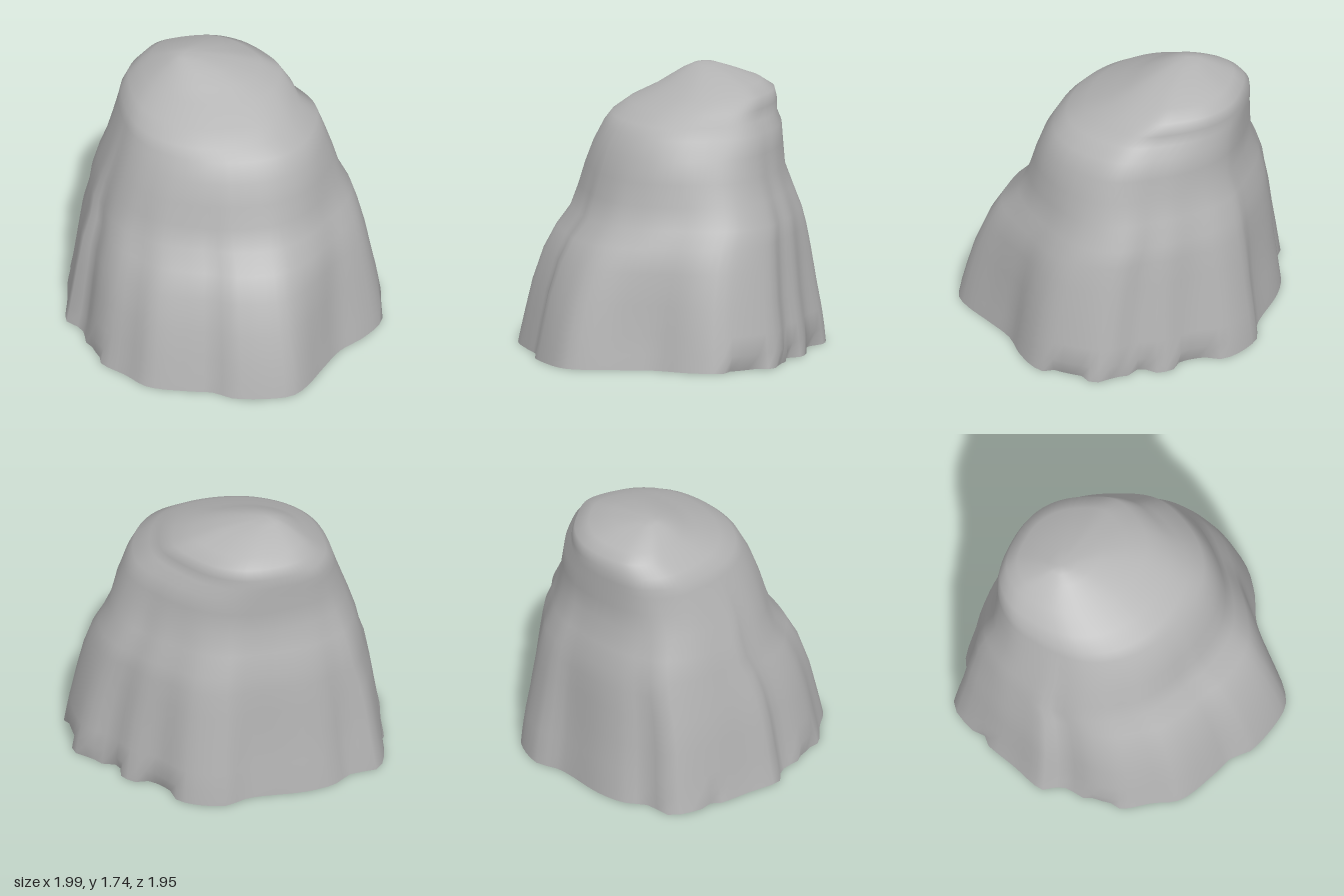
import * as THREE from 'three';

const SEGMENTS = 96;

// Ground outline and shoulder outline as [x, z], running from +x towards +z
const BASE = [[1, -0.18], [0.98, 0.2], [0.85, 0.37], [0.68, 0.5], [0.55, 0.68], [0.42, 0.87], [0.33, 0.95],
  [0.2, 0.97], [-0.08, 0.93], [-0.15, 0.87], [-0.33, 0.83], [-0.58, 0.75], [-0.7, 0.61], [-0.83, 0.48],
  [-0.9, 0.3], [-0.92, 0.08], [-1, 0], [-0.97, -0.25], [-0.93, -0.52], [-0.83, -0.79], [-0.65, -0.81],
  [-0.52, -0.9], [-0.33, -0.94], [0.05, -0.93], [0.2, -0.98], [0.4, -0.92], [0.48, -0.86], [0.6, -0.68],
  [0.75, -0.55], [0.84, -0.37], [0.95, -0.28]];
const SHOULDER = [[0.61, -0.2], [0.59, 0], [0.5, 0.2], [0.35, 0.33], [0.1, 0.38], [-0.2, 0.34], [-0.44, 0.2],
  [-0.58, 0], [-0.63, -0.3], [-0.6, -0.52], [-0.45, -0.7], [-0.15, -0.77], [0.1, -0.75], [0.32, -0.63], [0.5, -0.42]];

// Levels: height, x min, x max, z min, z max
const LEVELS = [
  [0, -1, 1, -0.97, 0.98], [0.1, -0.98, 0.985, -0.96, 0.96], [0.22, -0.96, 0.965, -0.945, 0.93],
  [0.4, -0.93, 0.93, -0.92, 0.88], [0.6, -0.89, 0.89, -0.9, 0.8], [0.75, -0.84, 0.85, -0.88, 0.71],
  [0.86, -0.815, 0.81, -0.86, 0.6], [1, -0.77, 0.74, -0.82, 0.54], [1.14, -0.72, 0.7, -0.77, 0.5],
  [1.28, -0.67, 0.65, -0.77, 0.45], [1.4, -0.63, 0.6, -0.77, 0.38], [1.46, -0.61, 0.5, -0.77, 0.31],
  [1.53, -0.56, 0.46, -0.77, 0.19], [1.6, -0.47, 0.39, -0.75, 0.02], [1.65, -0.41, 0.27, -0.68, -0.09],
  [1.7, -0.33, 0.1, -0.55, -0.2], [1.73, -0.27, -0.08, -0.46, -0.3]];
const PEAK = [-0.21, 1.74, -0.38];

// Chips undercut into the foot: angle, half width, depth
const CHIPS = [[0.04, 0.13, 0.05], [-0.27, 0.06, 0.03], [-0.5, 0.07, 0.05], [-0.88, 0.13, 0.05],
  [2.75, 0.07, 0.03], [-2.62, 0.06, 0.03]];

// Samples an outline evenly by angle and scales it to a -1..1 square
function sampleOutline(points) {
  const curve = new THREE.CatmullRomCurve3(points.map(([x, z]) => new THREE.Vector3(x, 0, z)), true, 'centripetal');
  const fine = curve.getPoints(800);
  const box = new THREE.Box3().setFromPoints(fine);
  const mid = box.getCenter(new THREE.Vector3());
  const half = box.getSize(new THREE.Vector3()).multiplyScalar(0.5);
  const unit = fine.map((p) => [(p.x - mid.x) / half.x, (p.z - mid.z) / half.z]);
  return Array.from({ length: SEGMENTS }, (_, j) => {
    const c = Math.cos(j / SEGMENTS * Math.PI * 2), s = Math.sin(j / SEGMENTS * Math.PI * 2);
    let best = unit[0], score = -2;
    for (const p of unit) {
      const dot = (p[0] * c + p[1] * s) / Math.hypot(p[0], p[1]);
      if (dot > score) { score = dot; best = p; }
    }
    return best;
  });
}

function chipDepth(angle) {
  let depth = 0;
  for (const [at, width, d] of CHIPS) {
    const off = Math.abs(Math.atan2(Math.sin(angle - at), Math.cos(angle - at)));
    if (off < width) depth = d;
  }
  return depth;
}

function makeGeometry(positions, indices) {
  const geometry = new THREE.BufferGeometry();
  geometry.setAttribute('position', new THREE.Float32BufferAttribute(positions, 3));
  geometry.setIndex(indices);
  geometry.computeVertexNormals();
  return geometry;
}

export function createModel() {
  const group = new THREE.Group();
  group.name = 'boulder';
  const stone = new THREE.MeshStandardMaterial({ color: 0xb4b4b4 });
  stone.name = 'grey stone';

  // Weathered sides and sloping crown, lofted through the levels
  const base = sampleOutline(BASE), shoulder = sampleOutline(SHOULDER);
  const positions = [], indices = [];
  LEVELS.forEach(([y, x0, x1, z0, z1], i) => {
    const blend = THREE.MathUtils.smoothstep(y, 0.1, 1.5);
    for (let j = 0; j < SEGMENTS; j++) {
      const u = THREE.MathUtils.lerp(base[j][0], shoulder[j][0], blend);
      const v = THREE.MathUtils.lerp(base[j][1], shoulder[j][1], blend);
      const cut = i === 0 ? 1 - chipDepth(j / SEGMENTS * Math.PI * 2) : 1;
      positions.push(((x0 + x1) / 2 + u * (x1 - x0) / 2) * cut, y, ((z0 + z1) / 2 + v * (z1 - z0) / 2) * cut);
    }
  });
  const top = LEVELS.length - 1, peak = LEVELS.length * SEGMENTS;
  positions.push(...PEAK);
  for (let j = 0; j < SEGMENTS; j++) {
    const k = (j + 1) % SEGMENTS;
    for (let i = 0; i < top; i++) {
      const a = i * SEGMENTS + j, b = i * SEGMENTS + k;
      indices.push(a, a + SEGMENTS, b, b, a + SEGMENTS, b + SEGMENTS);
    }
    indices.push(top * SEGMENTS + j, peak, top * SEGMENTS + k);
  }
  const body = new THREE.Mesh(makeGeometry(positions, indices), stone);
  body.name = 'rockBody';
  group.add(body);

  // Flat underside
  const floor = [...positions.slice(0, SEGMENTS * 3), 0, 0, 0], fan = [];
  for (let j = 0; j < SEGMENTS; j++) fan.push(SEGMENTS, j, (j + 1) % SEGMENTS);
  const underside = new THREE.Mesh(makeGeometry(floor, fan), stone);
  underside.name = 'underside';
  group.add(underside);

  return group;
}
